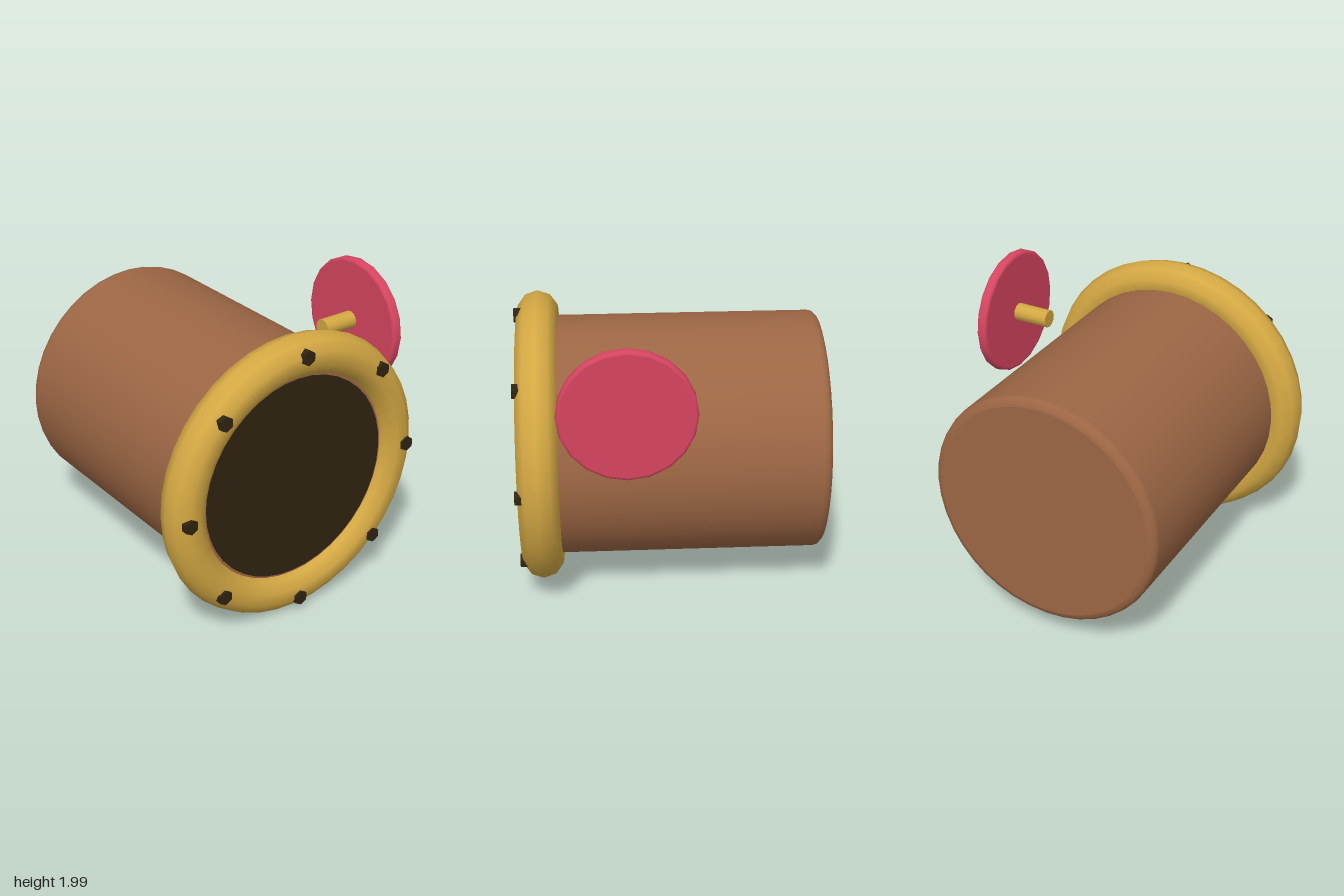
import * as THREE from 'three';
import { mergeGeometries } from 'three/addons/utils/BufferGeometryUtils.js';

const mat = (name, color) => {
  const m = new THREE.MeshStandardMaterial({ color });
  m.name = name;
  return m;
};

// Closed drum along y, with softly rounded rims and flat end caps
function drum(radius, length, bevel, sides) {
  const steps = 3, h = length / 2, profile = [];
  for (let end = -1; end <= 1; end += 2) {
    for (let i = 0; i <= steps; i++) {
      const a = ((end < 0 ? i : steps - i) / steps) * Math.PI / 2;
      profile.push(new THREE.Vector2(
        radius - bevel + bevel * Math.sin(a),
        end * (h - bevel + bevel * Math.cos(a))
      ));
    }
  }
  const cap = (end) => new THREE.CircleGeometry(radius - bevel, sides)
    .rotateX(-end * Math.PI / 2).translate(0, end * h, 0);
  return mergeGeometries([new THREE.LatheGeometry(profile, sides), cap(1), cap(-1)]);
}

export function createModel() {
  const model = new THREE.Group();
  model.name = 'pipeWithValve';

  const copper = mat('copperBrown', 0x9c6644);
  const brass = mat('brass', 0xd4a843);
  const dark = mat('darkBrown', 0x2f2311);
  const red = mat('valveRed', 0xd64560);

  const cx = -0.03, cy = 0.965;
  const add = (name, geometry, material, x, y, z) => {
    const mesh = new THREE.Mesh(geometry, material);
    mesh.name = name;
    mesh.position.set(x, y, z);
    model.add(mesh);
  };

  // Barrel lying along z, with a dark mouth plate at the front
  add('barrel', drum(0.793, 1.88, 0.055, 40).rotateX(Math.PI / 2), copper, cx, cy, -0.05);
  add('mouth', new THREE.CylinderGeometry(0.686, 0.686, 0.009, 40).rotateX(Math.PI / 2),
    dark, cx, cy, 0.895);

  // Flange ring
  add('flangeRing', new THREE.TorusGeometry(0.823, 0.134, 10, 40), brass, cx, cy, 0.847);

  // Hexagonal bolts around the flange
  const boltGeometry = new THREE.CylinderGeometry(0.05, 0.05, 0.06, 6).toNonIndexed();
  boltGeometry.computeVertexNormals();
  boltGeometry.rotateX(Math.PI / 2);
  for (let i = 0; i < 8; i++) {
    const a = i * Math.PI / 4;
    add('bolt' + (i + 1), boltGeometry, dark,
      cx + 0.857 * Math.cos(a), cy + 0.857 * Math.sin(a), 0.96);
  }

  // Valve stem and hand wheel on the left side
  add('valveStem', new THREE.CylinderGeometry(0.06, 0.06, 0.27, 12).rotateZ(-Math.PI / 2),
    brass, 0.805, 1.576, 0.29);
  add('valveWheel', drum(0.425, 0.07, 0.02, 20).rotateZ(-Math.PI / 2),
    red, 0.949, 1.576, 0.295);

  return model;
}
